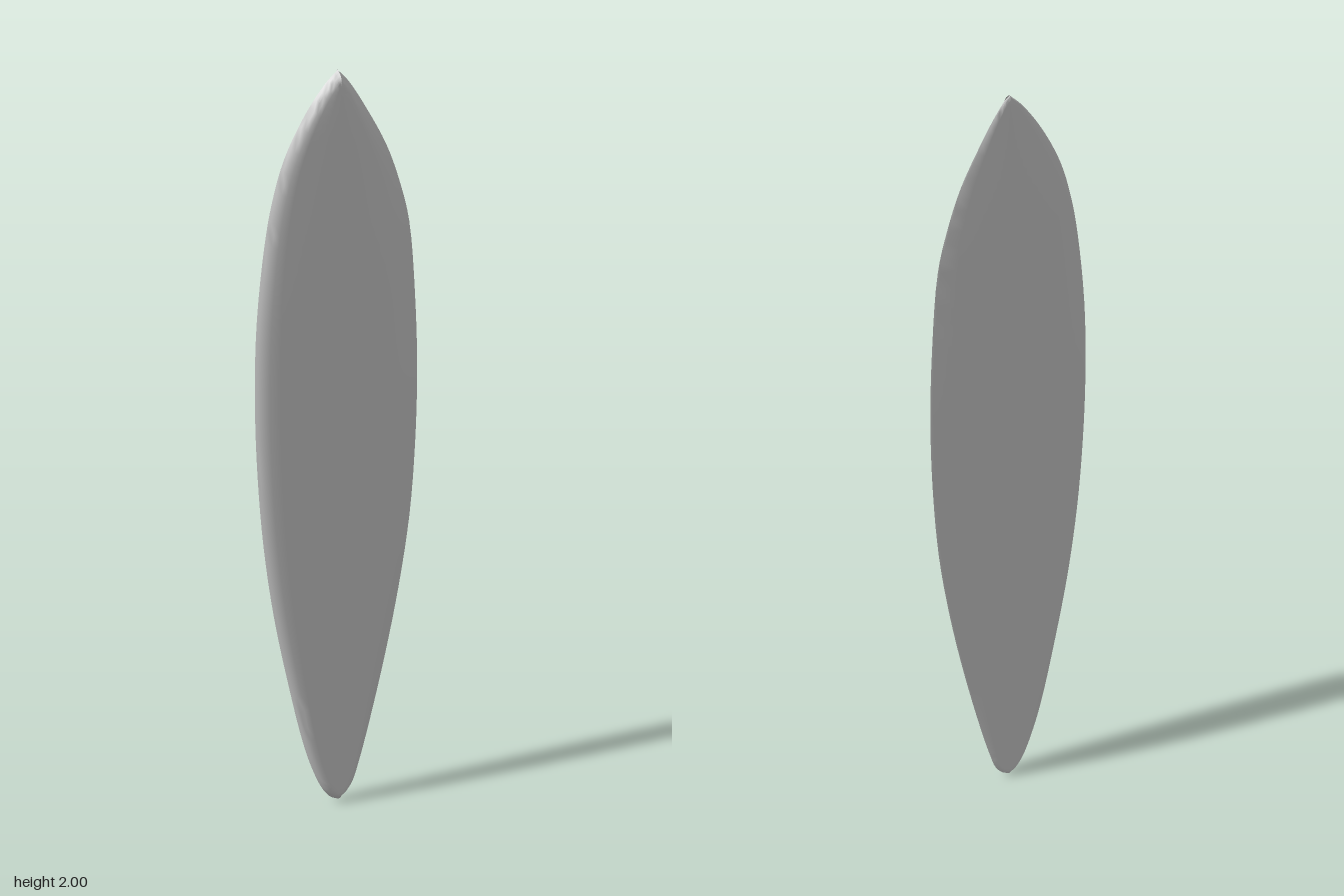
import * as THREE from 'three';
import { toCreasedNormals } from 'three/addons/utils/BufferGeometryUtils.js';

// Outline stations: [height, reach to -x, reach to +x]
const OUTLINE = [
  [0, 0, 0], [0.012, 0.022, 0.022], [0.04, 0.045, 0.045], [0.1, 0.073, 0.066],
  [0.2, 0.105, 0.094], [0.4, 0.15, 0.143], [0.6, 0.188, 0.184], [0.8, 0.214, 0.214],
  [1.0, 0.228, 0.228], [1.2, 0.232, 0.231], [1.4, 0.224, 0.222], [1.6, 0.199, 0.202],
  [1.7, 0.178, 0.175], [1.8, 0.145, 0.136], [1.9, 0.089, 0.078], [1.97, 0.034, 0.03], [2, 0, 0],
];

// Cross-section loop: [share of the reach, z, lengthwise scale].
// Blunt rounded edge on -x, thin bevelled edge on +x, flat back.
const SECTION = [
  [-1, -0.009, 1], [-0.975, -0.003, 0.996], [-0.93, 0.004, 0.99], [-0.86, 0.0095, 0.982],
  [-0.75, 0.0115, 0.975], [-0.35, 0.0125, 0.972], [0, 0.0125, 0.972], [0.35, 0.0125, 0.972],
  [0.66, 0.0115, 0.975], [0.76, 0.0085, 0.982], [0.88, -0.001, 0.99], [1, -0.0115, 1],
  [0.97, -0.0135, 0.998], [0.75, -0.015, 0.99], [0, -0.015, 0.99], [-0.75, -0.015, 0.99],
  [-0.95, -0.0135, 0.997],
];

function sideCurve(column) {
  const points = OUTLINE.map(row => new THREE.Vector3(row[column], row[0], 0));
  return new THREE.CatmullRomCurve3(points, false, 'centripetal').getPoints(64);
}

function bladeGeometry() {
  const right = sideCurve(1), left = sideCurve(2);
  const positions = [], indices = [];
  const n = SECTION.length;
  right.forEach((r, i) => {
    const l = left[i];
    for (const [share, z, scale] of SECTION) {
      const side = share < 0 ? r : l;
      const y = share === 0 ? (r.y + l.y) / 2 : side.y;
      positions.push(share * Math.max(side.x, 0), 1 + (y - 1) * scale, z);
    }
    if (i === 0) return;
    // Join this section to the one below
    for (let j = 0; j < n; j++) {
      const k = (j + 1) % n, a = (i - 1) * n, b = i * n;
      indices.push(a + j, a + k, b + j, a + k, b + k, b + j);
    }
  });
  const geometry = new THREE.BufferGeometry();
  geometry.setAttribute('position', new THREE.Float32BufferAttribute(positions, 3));
  geometry.setIndex(indices);
  return toCreasedNormals(geometry, 0.7);
}

export function createModel() {
  const group = new THREE.Group();
  group.name = 'bladePanel';
  const blade = new THREE.Mesh(
    bladeGeometry(),
    new THREE.MeshStandardMaterial({ color: 0xcccccc, side: THREE.DoubleSide }),
  );
  blade.name = 'blade';
  group.add(blade);
  return group;
}
